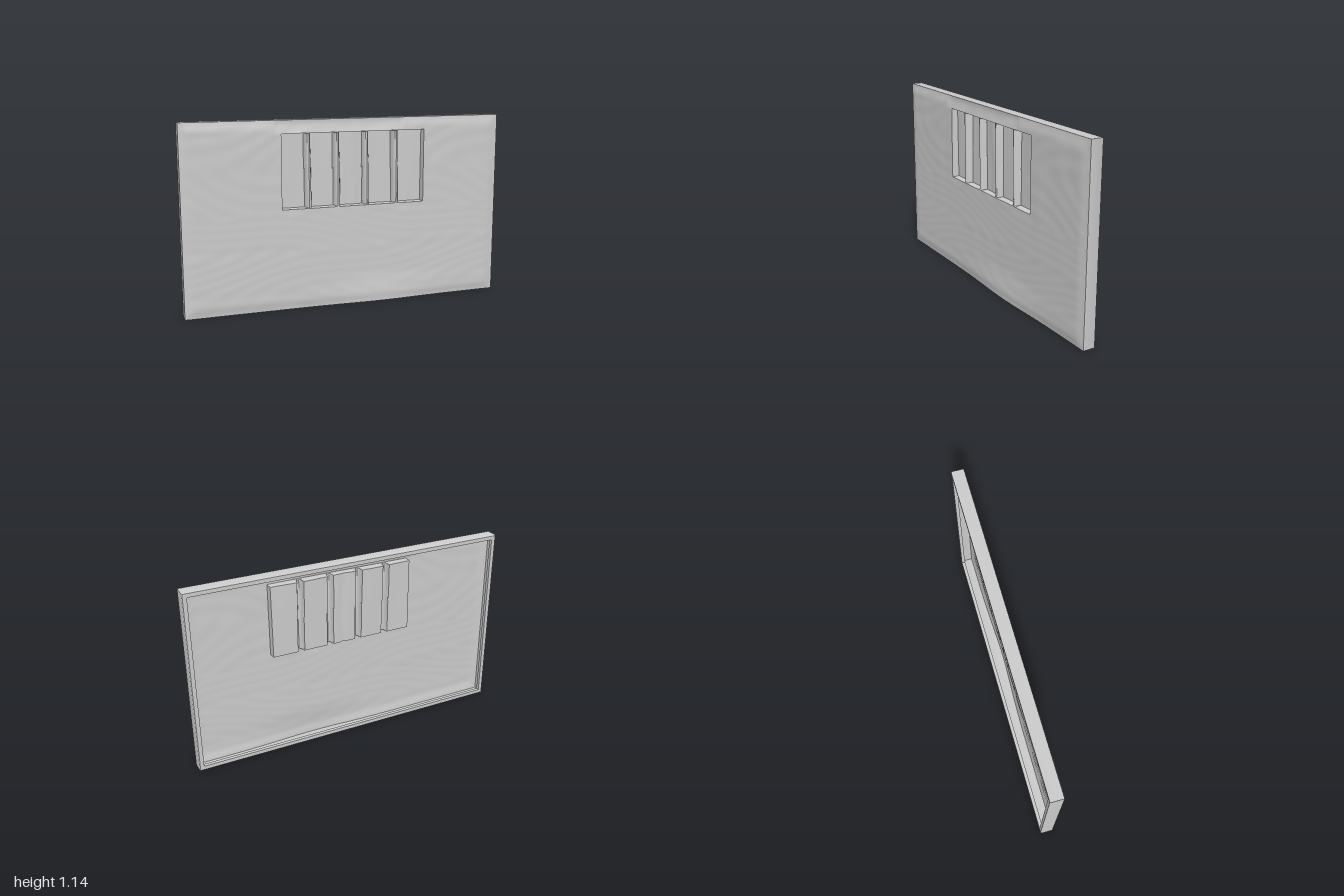
import * as THREE from 'three';
import { toCreasedNormals } from 'three/addons/utils/BufferGeometryUtils.js';

const H = 1.14, BACK = -0.05, EDGE = 0.027;
const WIN = { x0: -0.41, x1: 0.49, y0: 0.615, y1: 1.06, floor: -0.008 };
const BARS = [-0.245, -0.065, 0.12, 0.31];
const BAR_R = 0.019, EPS = 0.0015;

const material = new THREE.MeshStandardMaterial({ color: 0xcccccc, side: THREE.DoubleSide });

// Grid of quads from a point function
function gridGeometry(nu, nv, point) {
  const pos = [], index = [];
  for (let j = 0; j < nv; j++) for (let i = 0; i < nu; i++) pos.push(...point(i, j));
  for (let j = 0; j < nv - 1; j++) for (let i = 0; i < nu - 1; i++) {
    const a = j * nu + i, d = a + nu;
    index.push(a, a + 1, d + 1, a, d + 1, d);
  }
  const g = new THREE.BufferGeometry();
  g.setAttribute('position', new THREE.Float32BufferAttribute(pos, 3));
  g.setIndex(index);
  return toCreasedNormals(g, 0.7);
}

// Even spacing plus extra lines where the surface steps
function lines(from, to, n, extra) {
  const even = Array.from({ length: n + 1 }, (_, i) => from + (to - from) * i / n);
  const kept = even.filter(v => extra.every(e => Math.abs(e - v) > 0.003));
  return [...kept, ...extra].sort((a, b) => a - b);
}

// Shallow weathering: wavy above, flat horizontal dents below
function weathering(x, y) {
  const upper = Math.sin(23 * x + 4 * Math.sin(9 * y)) * Math.sin(31 * y + 3 * Math.sin(7 * x));
  const lower = Math.sin(17 * x + 5 * Math.sin(13 * y)) * Math.sin(58 * y + 4 * Math.sin(5 * x));
  return y > 0.58 ? 0.0013 * upper : 0.001 * lower;
}

// Front wall relief
function wallDepth(x, y) {
  const edge = Math.min(1 - Math.abs(x), y, H - y);
  const rise = THREE.MathUtils.smoothstep(edge, 0, 0.06);
  let z = EDGE + rise * (0.009 + weathering(x, y));
  // Swelling along the foot
  z += 0.016 * Math.exp(-(((x - 0.22) / 0.3) ** 2)) * Math.max(0, 1 - y / 0.18);
  // Scooped strip above the opening
  if (y > WIN.y1 && x > -0.44 && x < 0.36) {
    z -= 0.006 * Math.sin(Math.PI * (y - WIN.y1) / (H - WIN.y1));
  }
  return z;
}

// Recessed opening with upright rounded folds for bars
function windowDepth(x, y) {
  const t = (y - WIN.y0) / (WIN.y1 - WIN.y0);
  let z = WIN.floor + 0.004 * Math.sin(14 * x + 1) * t;
  z += 0.007 * Math.exp(-(((x - 0.04 - 0.01 * Math.sin(5 * t)) / 0.012) ** 2));
  for (const b of BARS) {
    const d = Math.abs(x - b - 0.006 * (0.5 - t)) / BAR_R;
    if (d < 1) z = Math.max(z, WIN.floor + 0.042 * Math.sqrt(1 - d * d));
  }
  return z;
}

function surfaceDepth(x, y) {
  const inside = x > WIN.x0 && x < WIN.x1 && y > WIN.y0 && y < WIN.y1;
  return inside ? windowDepth(x, y) : wallDepth(x, y);
}

export function createModel() {
  const group = new THREE.Group();
  group.name = 'barredWindowWall';

  // Front wall with the window pressed into it
  const steps = (a, b) => [a - EPS, a + EPS, b - EPS, b + EPS];
  const barLines = BARS.flatMap(b => [-1.2, -1, -0.85, -0.5, 0, 0.5, 0.85, 1, 1.2].map(k => b + k * BAR_R));
  const xs = lines(-1, 1, 100, [...steps(WIN.x0, WIN.x1), ...barLines]);
  const ys = lines(0, H, 72, steps(WIN.y0, WIN.y1));
  const wall = new THREE.Mesh(
    gridGeometry(xs.length, ys.length, (i, j) => [xs[i], ys[j], surfaceDepth(xs[i], ys[j])]), material);
  wall.name = 'frontWall';
  group.add(wall);

  // Outer sides, back lip and its short inner return: [inset, z]
  const section = [[0, EDGE], [0, BACK + 0.006], [0.004, BACK], [0.028, BACK], [0.028, BACK + 0.022]];
  const corners = [[-1, 0], [-1, 1], [1, 1], [1, 0], [-1, 0]];
  const rim = new THREE.Mesh(gridGeometry(corners.length, section.length, (i, j) => {
    const [sx, top] = corners[i], [inset, z] = section[j];
    return [sx * (1 - inset), top ? H - inset : inset, z];
  }), material);
  rim.name = 'sideRim';
  group.add(rim);

  // Closing strip where the swollen foot overhangs the rim
  const foot = new THREE.Mesh(gridGeometry(xs.length, 2,
    (i, j) => [xs[i], 0, j ? surfaceDepth(xs[i], 0) : EDGE]), material);
  foot.name = 'footStrip';
  group.add(foot);

  return group;
}
